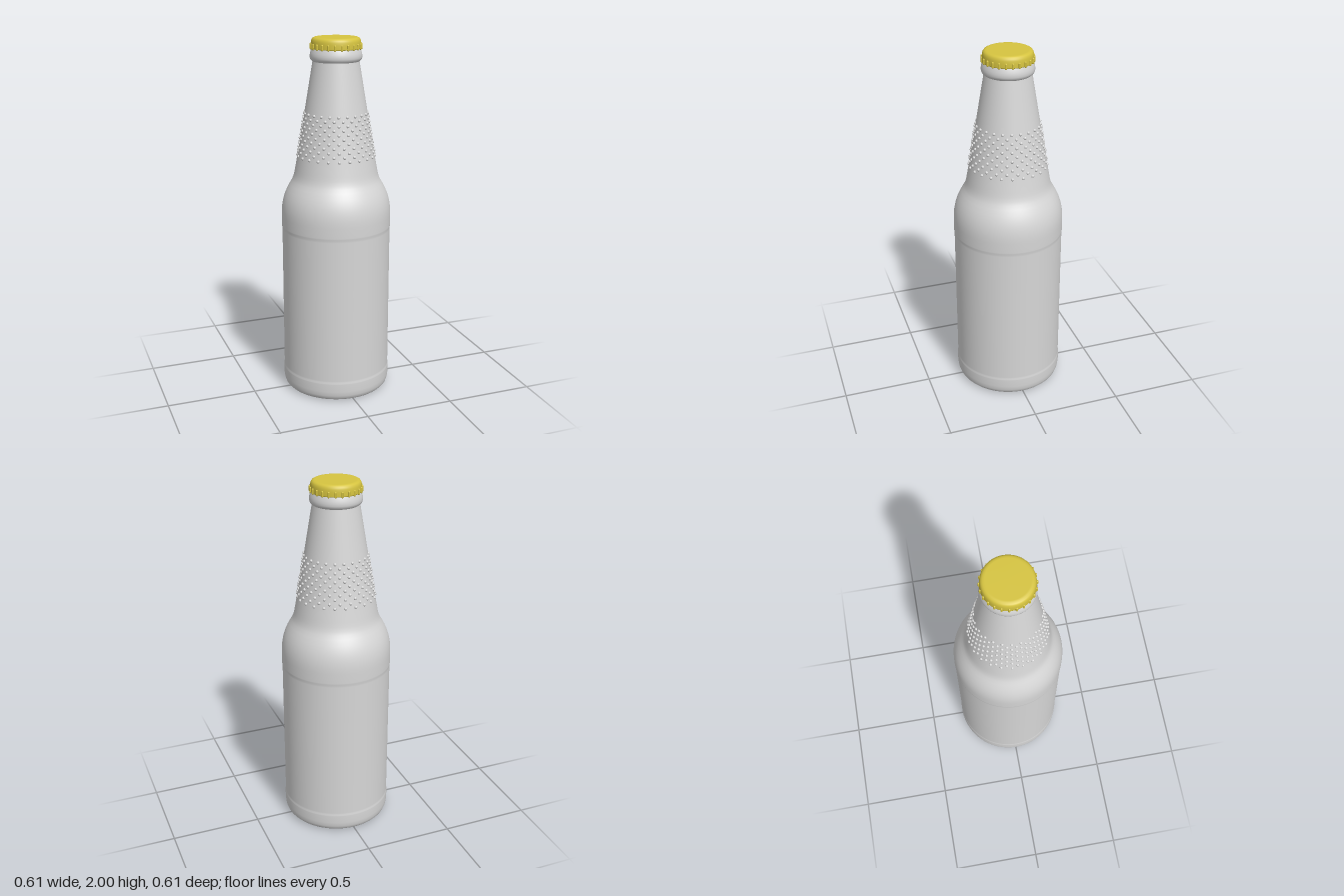
import * as THREE from 'three';

const glass = new THREE.MeshStandardMaterial({ name: 'bottle grey', color: 0xd6d6d6 });
const gold = new THREE.MeshStandardMaterial({ name: 'cap yellow', color: 0xd6c440 });

function lathe(name, profile, material, segments = 96) {
  const points = profile.map(([r, y]) => new THREE.Vector2(r, y));
  const mesh = new THREE.Mesh(new THREE.LatheGeometry(points, segments), material);
  mesh.name = name;
  return mesh;
}

// Places copies of one geometry evenly around the bottle axis
function ring(name, geometry, material, count, radius, y, phase = 0) {
  const group = new THREE.Group();
  group.name = name;
  for (let i = 0; i < count; i++) {
    const a = ((i + phase) / count) * Math.PI * 2;
    const mesh = new THREE.Mesh(geometry, material);
    mesh.name = name + 'Piece';
    mesh.position.set(Math.sin(a) * radius, y, Math.cos(a) * radius);
    mesh.rotation.y = a;
    group.add(mesh);
  }
  return group;
}

export function createModel() {
  const bottle = new THREE.Group();
  bottle.name = 'bottle';

  // Hollowed base, heel and straight body with a slightly inset label panel
  bottle.add(lathe('body', [
    [0, 0.035], [0.12, 0.031], [0.2, 0.02], [0.245, 0.006], [0.255, 0.003],
    [0.275, 0.003], [0.286, 0.007], [0.296, 0.018], [0.302, 0.035], [0.305, 0.06],
    [0.305, 0.105], [0.3045, 0.11], [0.303, 0.118], [0.3025, 0.125],
    [0.3025, 0.94], [0.303, 0.95], [0.3045, 0.958], [0.305, 0.965], [0.305, 1.02],
    [0.304, 1.05], [0.301, 1.08], [0.295, 1.11], [0.286, 1.14], [0.273, 1.17],
    [0.257, 1.2], [0.245, 1.22], [0.237, 1.24], [0.231, 1.262], [0.227, 1.285],
    [0.213, 1.36], [0.172, 1.6], [0.128, 1.865], [0.127, 1.873],
  ], glass));

  // Rounded lip below the cap
  bottle.add(lathe('lip', [
    [0.126, 1.872], [0.131, 1.876], [0.138, 1.883], [0.141, 1.893], [0.141, 1.905],
    [0.139, 1.918], [0.134, 1.933], [0.13, 1.943], [0.122, 1.965],
  ], glass));

  // Staggered rows of raised beads on the neck
  const bead = new THREE.SphereGeometry(0.0085, 10, 8);
  const rows = 11;
  for (let i = 0; i < rows; i++) {
    const y = 1.36 + (i / (rows - 1)) * 0.234;
    const radius = 0.213 - (y - 1.36) * 0.171;
    bottle.add(ring('neckBeads', bead, glass, 23, radius, y, (i % 2) / 2));
  }

  // Fine knurling around the standing edge
  const knurl = new THREE.SphereGeometry(0.005, 8, 6);
  bottle.add(ring('baseKnurls', knurl, glass, 90, 0.268, 0.005));

  // Crown cap
  const cap = new THREE.Group();
  cap.name = 'cap';
  cap.add(lathe('capShell', [
    [0.126, 1.942], [0.135, 1.94], [0.136, 1.944], [0.135, 1.965], [0.134, 1.978],
    [0.131, 1.988], [0.126, 1.995], [0.118, 1.999], [0.108, 2], [0, 2],
  ], gold));

  // Crimped flutes around the skirt
  const flute = new THREE.CapsuleGeometry(0.0058, 0.022, 4, 10);
  cap.add(ring('capFlutes', flute, gold, 24, 0.1365, 1.952, 0.5));
  bottle.add(cap);

  return bottle;
}
